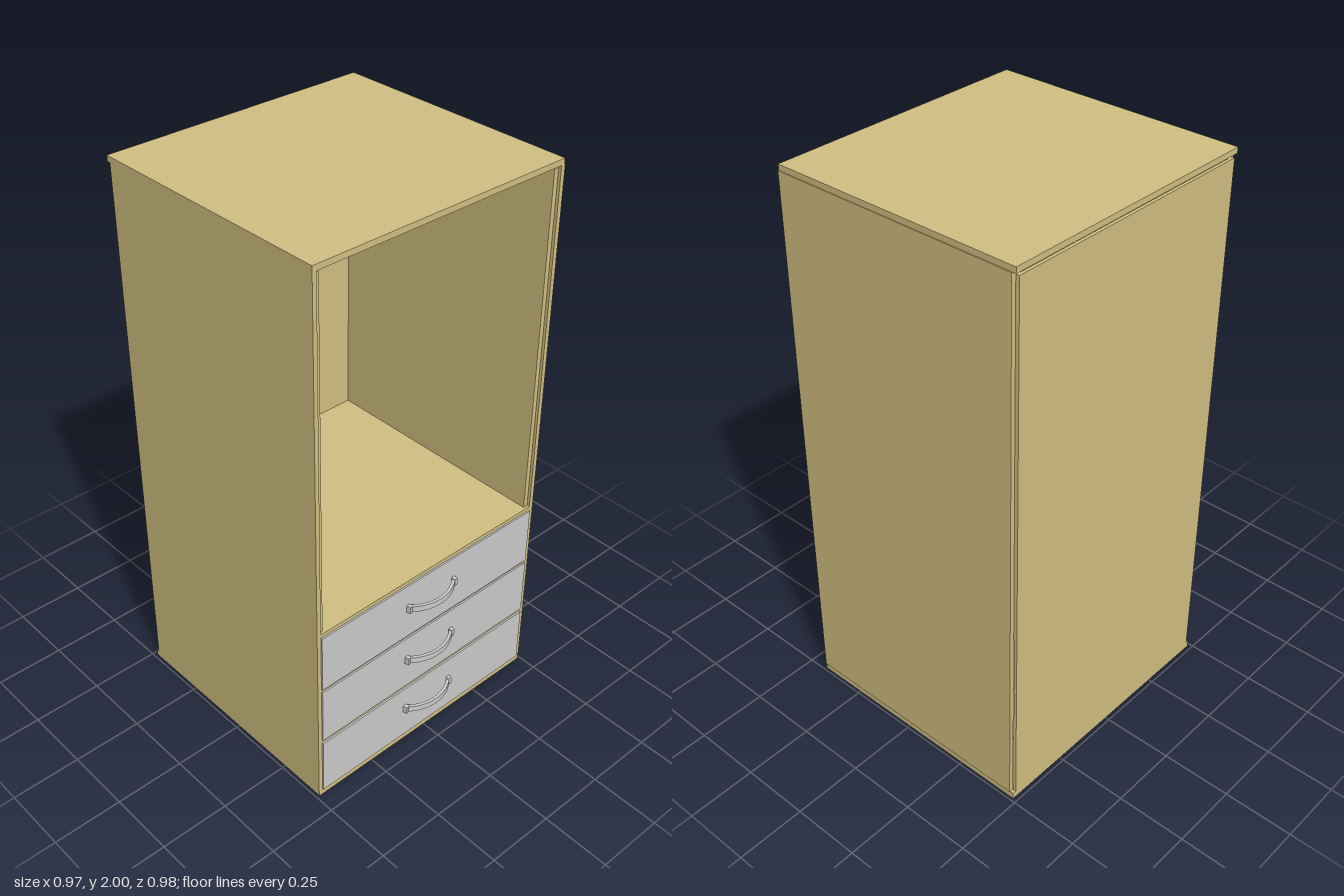
import * as THREE from 'three';

const wood = new THREE.MeshStandardMaterial({ color: 0xd2c082 });
const grey = new THREE.MeshStandardMaterial({ color: 0xcccccc });

// Box given by its min and max on each axis
function board(name, [x0, x1], [y0, y1], [z0, z1], material = wood) {
  const mesh = new THREE.Mesh(new THREE.BoxGeometry(x1 - x0, y1 - y0, z1 - z0), material);
  mesh.name = name;
  mesh.position.set((x0 + x1) / 2, (y0 + y1) / 2, (z0 + z1) / 2);
  return mesh;
}

// Bowed pull: a flat curved grip with a small foot at each end
function createHandle(y) {
  const handle = new THREE.Group();
  handle.name = 'drawerHandle';
  const centre = 0.325, outer = 0.158, inner = 0.147, a = 0.73, height = 0.022;
  const shape = new THREE.Shape();
  shape.absarc(centre, 0, outer, -a, a, false);
  shape.absarc(centre, 0, inner, a, -a, true);
  shape.closePath();
  const geometry = new THREE.ExtrudeGeometry(shape, { depth: height, bevelEnabled: false, curveSegments: 16 });
  geometry.translate(0, 0, -height / 2).rotateX(-Math.PI / 2);
  const grip = new THREE.Mesh(geometry, grey);
  grip.name = 'handleGrip';
  handle.add(grip);
  for (const s of [-1, 1]) {
    const foot = board('handleFoot', [0.433, 0.449], [-0.014, 0.014], [-0.007, 0.007], grey);
    foot.position.z = s * 0.103;
    foot.rotation.y = s * 0.2;
    handle.add(foot);
  }
  handle.position.y = y;
  return handle;
}

export function createModel() {
  const cabinet = new THREE.Group();
  cabinet.name = 'cabinet';

  // Outer carcass
  cabinet.add(
    board('topPanel', [-0.485, 0.428], [1.98, 2], [-0.49, 0.475]),
    board('bottomPanel', [-0.485, 0.428], [0, 0.025], [-0.49, 0.488]),
    board('sidePanel', [-0.472, 0.428], [0.025, 1.98], [-0.493, -0.477]),
    board('sidePanel', [-0.472, 0.428], [0.025, 2], [0.475, 0.49]),
    board('topEdge', [-0.485, -0.472], [1.98, 2], [0.475, 0.49]),
    board('backPanel', [-0.485, -0.474], [0.025, 1.97], [-0.477, 0.477])
  );

  // Thin linings inside the open compartment
  for (const s of [-1, 1]) {
    const z = s * 0.4675;
    cabinet.add(board('compartmentLining', [-0.474, 0.418], [0.72, 1.97], [z - 0.0085, z + 0.0085]));
  }

  // Compartment floor and boards between the drawers
  for (const [y0, y1] of [[0.703, 0.72], [0.474, 0.489], [0.246, 0.261]]) {
    cabinet.add(board('shelf', [-0.474, 0.428], [y0, y1], [-0.477, 0.475]));
  }

  // Drawer fronts with handles
  for (const [y0, y1, handleY] of [[0.027, 0.245, 0.155], [0.26, 0.476, 0.383], [0.487, 0.706, 0.611]]) {
    const drawer = new THREE.Group();
    drawer.name = 'drawer';
    drawer.add(
      board('drawerFront', [0.42, 0.434], [y0, y1], [-0.475, 0.475], grey),
      createHandle(handleY)
    );
    cabinet.add(drawer);
  }
  return cabinet;
}
